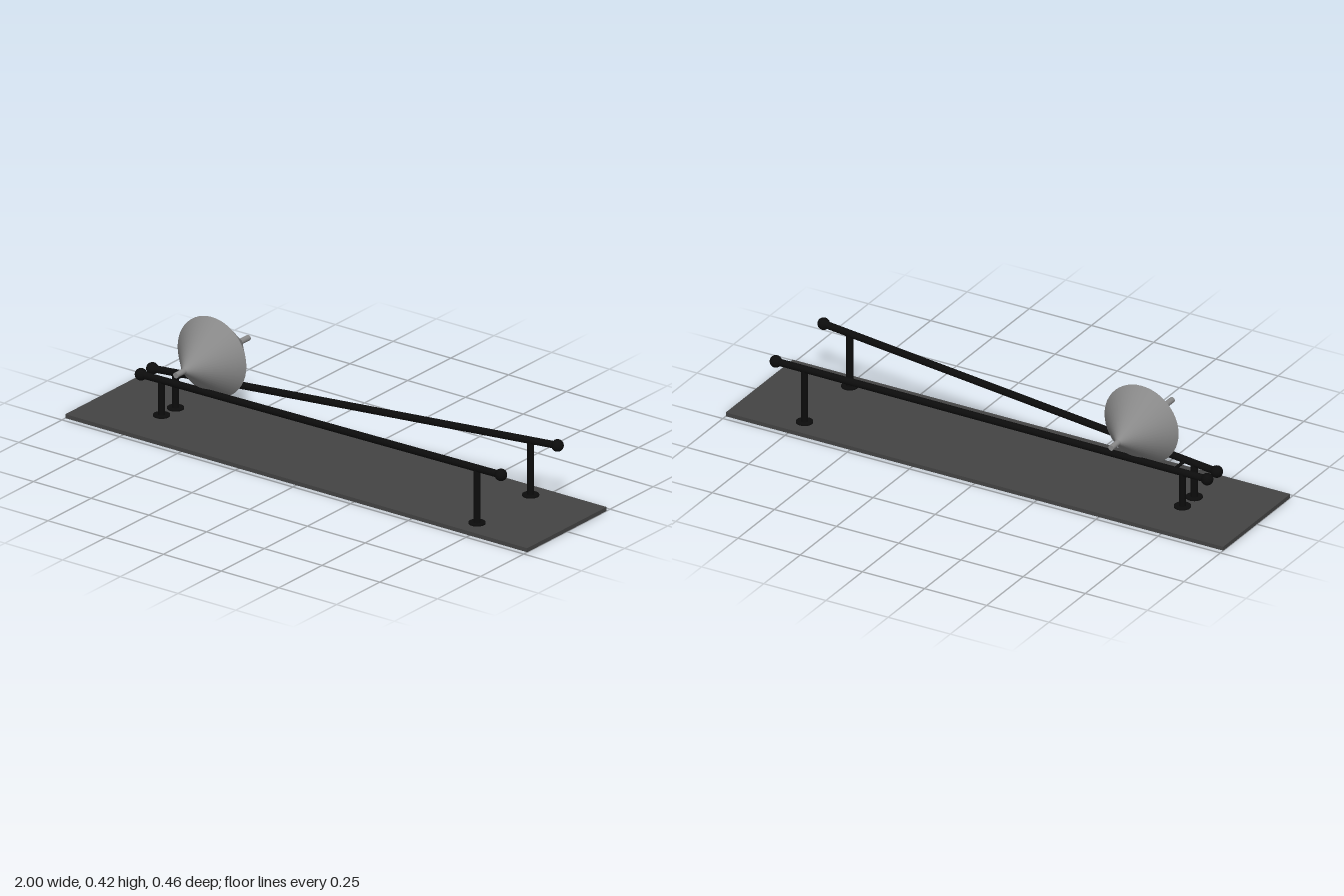
import * as THREE from 'three';

const black = new THREE.MeshStandardMaterial({ color: 0x0c0c0c });
const baseGrey = new THREE.MeshStandardMaterial({ color: 0x444444 });
const coneGrey = new THREE.MeshStandardMaterial({ color: 0x888888 });

// Cylinder or cone running between two points
function rod(name, a, b, rA, rB, material, segments = 24, open = false) {
  const dir = b.clone().sub(a);
  const mesh = new THREE.Mesh(
    new THREE.CylinderGeometry(rB, rA, dir.length(), segments, 1, open), material);
  mesh.position.copy(a).add(b).multiplyScalar(0.5);
  mesh.quaternion.setFromUnitVectors(new THREE.Vector3(0, 1, 0), dir.normalize());
  mesh.name = name;
  return mesh;
}

export function createModel() {
  const model = new THREE.Group();
  model.name = 'doubleConeRamp';
  const v = (x, y, z) => new THREE.Vector3(x, y, z);
  const baseTop = 0.015;

  // Base board
  const base = new THREE.Mesh(new THREE.BoxGeometry(2, baseTop, 0.46), baseGrey);
  base.position.y = baseTop / 2;
  base.name = 'baseBoard';
  model.add(base);

  // Diverging, rising rails with end balls, posts and feet
  const railAt = (x, side) => {
    const t = (x + 0.82) / 1.657;
    return v(x, 0.144 + 0.084 * t, side * (0.033 + 0.131 * t));
  };
  for (const side of [1, -1]) {
    const rail = new THREE.Group();
    rail.name = side > 0 ? 'frontRail' : 'backRail';
    const low = railAt(-0.82, side), high = railAt(0.837, side);
    rail.add(rod('railBar', low, high, 0.013, 0.013, black));
    for (const end of [low, high]) {
      const ball = new THREE.Mesh(new THREE.SphereGeometry(0.022, 24, 16), black);
      ball.position.copy(end);
      ball.name = 'railEndBall';
      rail.add(ball);
    }
    for (const x of [-0.725, 0.727]) {
      const top = railAt(x, side);
      rail.add(rod('post', v(x, baseTop, top.z), top, 0.0125, 0.0125, black));
      rail.add(rod('postFoot', v(x, baseTop, top.z), v(x, 0.02, top.z), 0.03, 0.03, black, 32));
    }
    model.add(rail);
  }

  // Thin stop bar joining the rails at the low end
  model.add(rod('stopBar', railAt(-0.69, -1), railAt(-0.69, 1), 0.006, 0.006, black, 16));

  // Double cone on its axle
  const roller = new THREE.Group();
  roller.name = 'doubleCone';
  roller.position.set(-0.537, 0.271, 0);
  for (const side of [1, -1]) {
    roller.add(rod('coneHalf', v(0, 0, 0), v(0, 0, side * 0.162), 0.149, 0.0105, coneGrey, 48, true));
  }
  roller.add(rod('axle', v(0, 0, -0.211), v(0, 0, 0.211), 0.0105, 0.0105, coneGrey));
  model.add(roller);

  return model;
}
